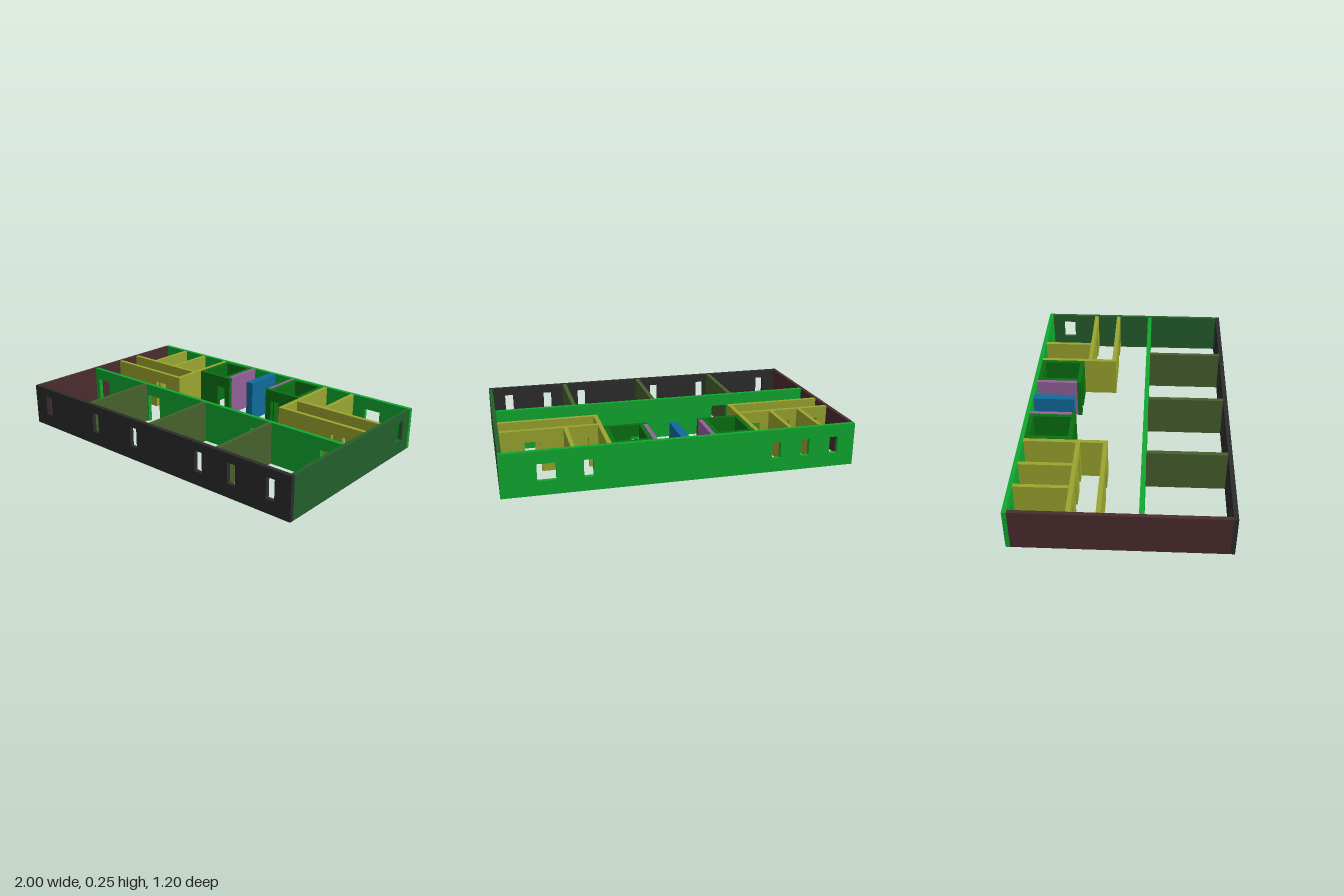
import * as THREE from 'three';

const H = 0.25;   // wall height
const T = 0.025;  // wall thickness
const DOOR = 0.18; // door head height
const SILL = 0.08;

function material(name, hex) {
  const m = new THREE.MeshStandardMaterial({ color: hex });
  m.name = name;
  return m;
}

export function createModel() {
  const model = new THREE.Group();
  model.name = 'floorPlan';

  const charcoal = material('charcoal', 0x2c2c2c);
  const green = material('bright green', 0x0fa82f);
  const forest = material('forest green', 0x235f2c);
  const brown = material('dark brown', 0x4a2c2e);
  const yellow = material('olive yellow', 0x9aa52f);
  const darkGreen = material('deep green', 0x0a7012);
  const olive = material('dark olive', 0x46602d);
  const purple = material('purple', 0x94609a);
  const blue = material('blue', 0x106a9a);

  // Wall outline with door notches at the floor and window holes, extruded.
  // Doors: [from, to] in rising order. Windows: [from, to, bottom, top].
  function wallGeometry(a, b, thickness, doors, windows) {
    const s = new THREE.Shape();
    s.moveTo(a, 0);
    for (const [d0, d1] of doors) {
      s.lineTo(d0, 0);
      s.lineTo(d0, DOOR);
      s.lineTo(d1, DOOR);
      s.lineTo(d1, 0);
    }
    s.lineTo(b, 0);
    s.lineTo(b, H);
    s.lineTo(a, H);
    s.closePath();
    for (const [w0, w1, y0, y1] of windows) {
      const hole = new THREE.Path();
      hole.moveTo(w0, y0);
      hole.lineTo(w0, y1);
      hole.lineTo(w1, y1);
      hole.lineTo(w1, y0);
      hole.closePath();
      s.holes.push(hole);
    }
    return new THREE.ExtrudeGeometry(s, { depth: thickness, bevelEnabled: false });
  }

  // Wall running along x, its back face at z
  function wallX(name, mat, x0, x1, z, { doors = [], windows = [], t = T } = {}) {
    const mesh = new THREE.Mesh(wallGeometry(x0, x1, t, doors, windows), mat);
    mesh.name = name;
    mesh.position.z = z;
    model.add(mesh);
  }

  // Wall running along z, its lower-x face at x
  function wallZ(name, mat, z0, z1, x, { doors = [], windows = [], t = T } = {}) {
    const mesh = new THREE.Mesh(wallGeometry(z0, z1, t, doors, windows), mat);
    mesh.name = name;
    mesh.rotation.y = -Math.PI / 2;
    mesh.position.x = x + t;
    model.add(mesh);
  }

  // Outer walls
  const frontWindows = [-0.9, -0.455, -0.128, 0.37, 0.597, 0.848]
    .map((x) => [x, x + 0.052, SILL, 0.2]);
  wallX('frontWall', charcoal, -1, 1, 0.575, { windows: frontWindows });

  const backWindows = [[-0.9, -0.85], [-0.725, -0.675], [-0.553, -0.503], [0.505, 0.557], [0.703, 0.805]]
    .map(([a, b]) => [a, b, SILL, 0.178]);
  wallX('backWall', green, -1, 1, -0.6, { windows: backWindows });

  wallZ('rightWall', brown, -0.575, 0.575, -1, { t: 0.022 });
  wallZ('leftWall', forest, -0.575, 0.575, 0.978, { t: 0.022, windows: [[-0.5, -0.422, SILL, 0.2]] });

  // Corridor wall and the partitions between the front rooms
  wallX('corridorWall', green, -0.978, 0.978, 0.098, {
    doors: [[-0.945, -0.845], [-0.47, -0.37], [0.37, 0.475], [0.845, 0.945]],
  });
  for (const x of [-0.505, 0, 0.495]) wallZ('frontPartition', olive, 0.123, 0.575, x);

  // Rear rooms on both sides, each with a passage in front
  wallX('passageWall', yellow, -0.978, -0.429, -0.122, { doors: [[-0.62, -0.53]] });
  wallX('passageWall', yellow, 0.426, 0.978, -0.122, { doors: [[0.77, 0.86]] });
  wallX('roomFrontWall', yellow, -0.978, -0.429, -0.277, {
    doors: [[-0.92, -0.85], [-0.74, -0.67], [-0.55, -0.48]],
  });
  wallX('roomFrontWall', yellow, 0.426, 0.978, -0.277, {
    doors: [[0.48, 0.55], [0.75, 0.84]],
  });
  wallZ('roomSideWall', yellow, -0.575, -0.097, -0.429);
  wallZ('roomSideWall', yellow, -0.575, -0.097, 0.401);
  for (const x of [-0.806, -0.628, 0.598]) wallZ('roomPartition', yellow, -0.575, -0.277, x, { t: 0.023 });

  // Two small enclosed rooms with purple facing panels
  for (const s of [-1, 1]) {
    const span = (a, b) => (s > 0 ? [a, b] : [-b, -a]);
    const low = (a) => (s > 0 ? a : -a - T);
    wallX('smallRoomFront', darkGreen, ...span(0.15, 0.401), -0.327, { doors: [span(0.19, 0.25)] });
    wallX('smallRoomBack', darkGreen, ...span(0.199, 0.376), -0.575);
    wallZ('smallRoomOuterSide', darkGreen, -0.575, -0.327, low(0.376));
    wallZ('smallRoomInnerSide', darkGreen, -0.575, -0.327, low(0.174));
    wallZ('facingPanel', purple, -0.575, -0.327, low(0.15) + (s > 0 ? 0 : 0.001), { t: 0.024 });
  }

  // Central divider
  wallZ('centralDivider', blue, -0.575, -0.328, -0.026, { t: 0.048 });

  return model;
}
